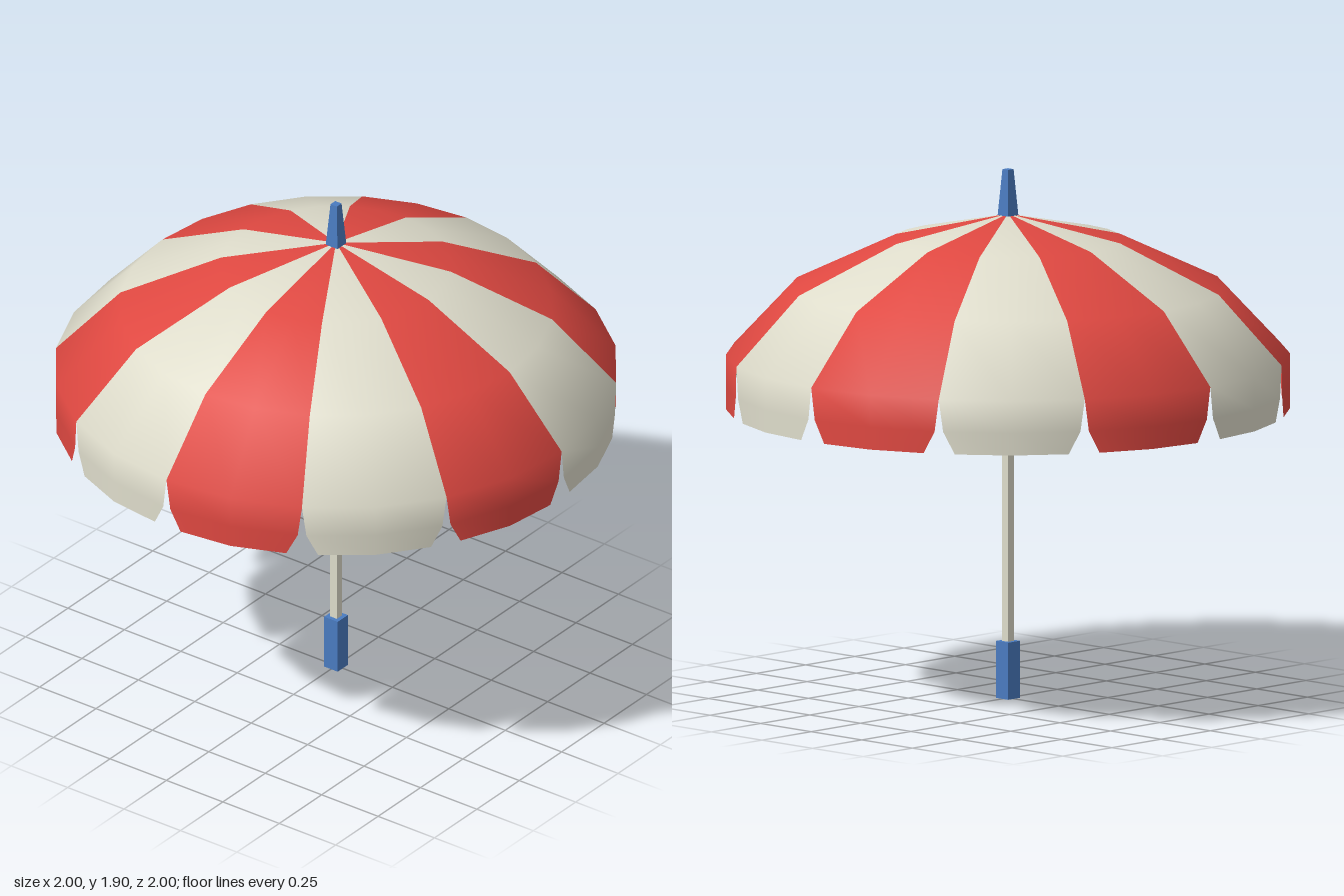
import * as THREE from 'three';

const red = new THREE.MeshStandardMaterial({ color: 0xdf4841, side: THREE.DoubleSide });
red.name = 'red cloth';
const cream = new THREE.MeshStandardMaterial({ color: 0xdedccb, side: THREE.DoubleSide });
cream.name = 'cream cloth and pole';
const blue = new THREE.MeshStandardMaterial({ color: 0x4a7bc0 });
blue.name = 'blue';

const PANELS = 12;
const STEP = (Math.PI * 2) / PANELS;

// Canopy section from apex to hem: radius, height, inset of the panel's side edges
const RINGS = [
  [0, 1.74, 0],
  [0.41, 1.65, 0],
  [0.77, 1.48, 0],
  [1, 1.235, 0],
  [1, 1.12, 0.06],
  [1, 1.04, 0.22],
];

// Smooth outward direction of the section at a ring, as [radial, up]
function ringNormal(i) {
  if (i === 0) return [0, 1];
  const sum = new THREE.Vector2();
  for (const j of [i - 1, i]) {
    if (j + 1 >= RINGS.length) continue;
    const [r0, y0] = RINGS[j];
    const [r1, y1] = RINGS[j + 1];
    sum.add(new THREE.Vector2(y0 - y1, r1 - r0).normalize());
  }
  return sum.normalize().toArray();
}

// One canopy gore, two facets wide, with its hanging flap
function panelGeometry() {
  const positions = [], normals = [], index = [];
  RINGS.forEach(([r, y, inset], i) => {
    const [nr, ny] = ringNormal(i);
    const p = [0, 1, 2].map((c) => {
      const a = (c * STEP) / 2;
      return new THREE.Vector3(Math.sin(a) * r, y, Math.cos(a) * r);
    });
    p[0].lerp(p[1], inset);
    p[2].lerp(p[1], inset);
    p.forEach((v, c) => {
      const a = (c * STEP) / 2;
      positions.push(v.x, v.y, v.z);
      normals.push(Math.sin(a) * nr, ny, Math.cos(a) * nr);
    });
    if (i === RINGS.length - 1) return;
    for (let c = 0; c < 2; c++) {
      const k = i * 3 + c;
      index.push(k, k + 3, k + 4);
      if (i > 0) index.push(k, k + 4, k + 1);
    }
  });
  const g = new THREE.BufferGeometry();
  g.setAttribute('position', new THREE.Float32BufferAttribute(positions, 3));
  g.setAttribute('normal', new THREE.Float32BufferAttribute(normals, 3));
  g.setIndex(index);
  return g;
}

// Square post between two heights, optionally tapered
function post(name, bottomWidth, topWidth, y0, y1, material) {
  const g = new THREE.BoxGeometry(bottomWidth, y1 - y0, bottomWidth);
  const pos = g.attributes.position;
  for (let i = 0; i < pos.count; i++) {
    if (pos.getY(i) > 0) {
      const s = topWidth / bottomWidth;
      pos.setX(i, pos.getX(i) * s);
      pos.setZ(i, pos.getZ(i) * s);
    }
  }
  g.computeVertexNormals();
  const mesh = new THREE.Mesh(g, material);
  mesh.position.y = (y0 + y1) / 2;
  mesh.name = name;
  return mesh;
}

export function createModel() {
  const model = new THREE.Group();
  model.name = 'parasol';

  // Canopy of alternating gores
  const canopy = new THREE.Group();
  canopy.name = 'canopy';
  const geometry = panelGeometry();
  for (let k = 0; k < PANELS; k++) {
    const panel = new THREE.Mesh(geometry, k % 2 ? red : cream);
    panel.name = k % 2 ? 'redPanel' : 'creamPanel';
    panel.rotation.y = k * STEP;
    canopy.add(panel);
  }
  model.add(canopy);

  // Handle, pole and tip
  model.add(post('handle', 0.06, 0.06, 0, 0.205, blue));
  model.add(post('pole', 0.03, 0.03, 0.205, 1.735, cream));
  model.add(post('tip', 0.052, 0.028, 1.735, 1.9, blue));
  return model;
}
